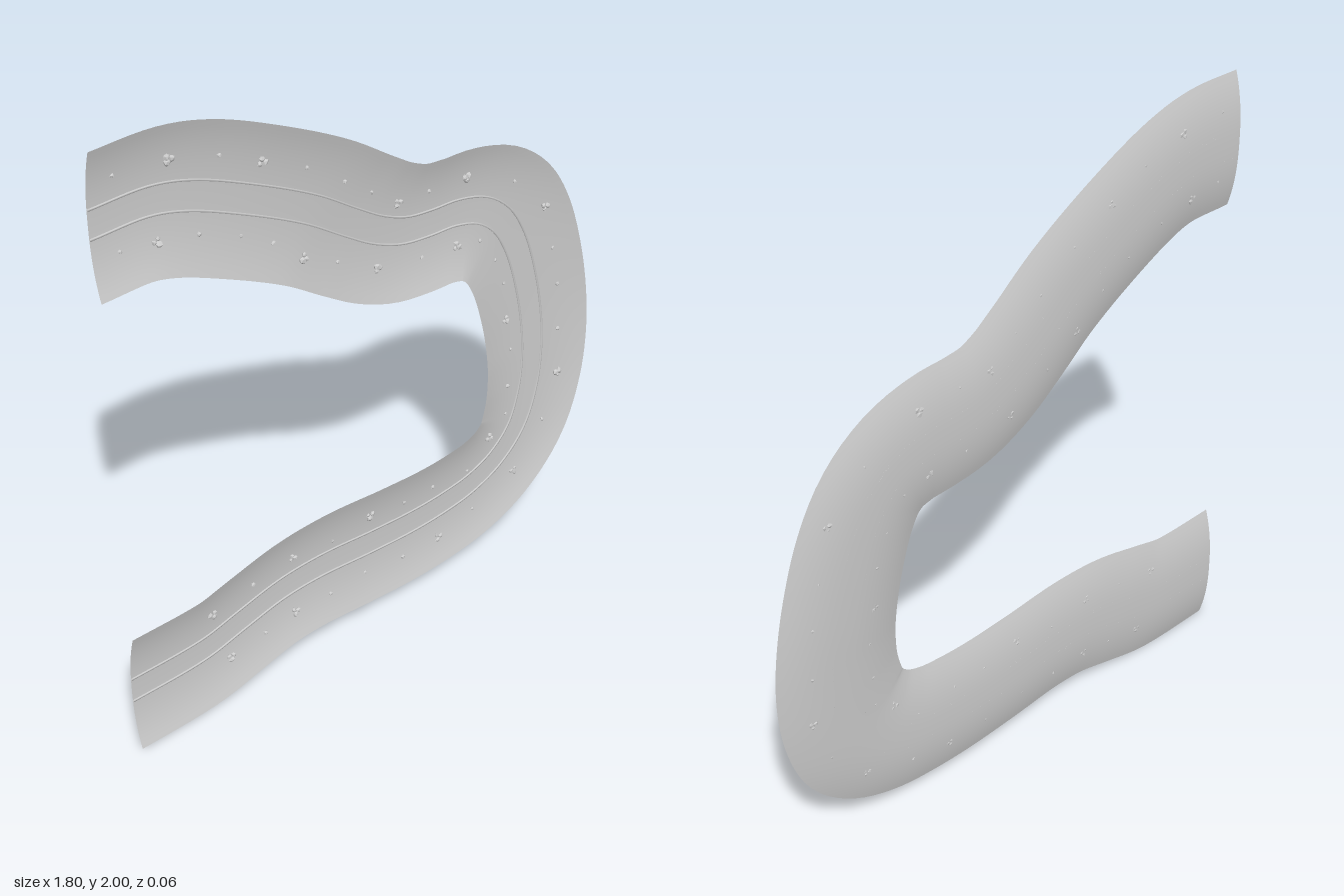
import * as THREE from 'three';
import { mergeVertices } from 'three/addons/utils/BufferGeometryUtils.js';

const HALF_WIDTH = 0.216;
const RISE = 0.03;
const STEPS = 160;

// Centre line of the channel: x, y and the depth of its floor
const centreLine = new THREE.CatmullRomCurve3([
  [-0.9, 1.784, -0.014], [-0.72, 1.784, -0.014], [-0.6, 1.755, -0.014], [-0.4, 1.665, -0.016],
  [-0.2, 1.555, -0.022], [-0.05, 1.45, -0.03], [0.05, 1.385, -0.034], [0.15, 1.343, -0.036],
  [0.25, 1.329, -0.036], [0.35, 1.323, -0.036], [0.45, 1.293, -0.035], [0.53, 1.23, -0.034],
  [0.59, 1.13, -0.033], [0.64, 0.98, -0.031], [0.67, 0.83, -0.028], [0.679, 0.7, -0.024],
  [0.665, 0.56, -0.02], [0.617, 0.43, -0.016], [0.53, 0.345, -0.013], [0.42, 0.298, -0.011],
  [0.3, 0.28, -0.01], [0.17, 0.275, -0.01], [0, 0.283, -0.011], [-0.2, 0.298, -0.012],
  [-0.35, 0.29, -0.013], [-0.5, 0.255, -0.014], [-0.62, 0.225, -0.014], [-0.7, 0.218, -0.014],
  [-0.9, 0.218, -0.014],
].map((p) => new THREE.Vector3(...p)));

// Stations along the path with the sideways direction at each
const stations = [];
for (let i = 0; i <= STEPS; i++) {
  const t = centreLine.getTangentAt(i / STEPS);
  const side = new THREE.Vector3(-t.y, t.x, 0).normalize();
  stations.push({ point: centreLine.getPointAt(i / STEPS), side });
}

// Height of the dished cross-section above the floor
const dish = (offset) => RISE * Math.pow(Math.min(1, Math.abs(offset) / HALF_WIDTH), 2.4);

// Sweep a cross-section of [sideways offset, height above the dish] along the path
function sweep(profile) {
  const positions = [];
  const indices = [];
  const n = profile.length;
  stations.forEach(({ point, side }, i) => {
    profile.forEach(([offset, height], j) => {
      positions.push(point.x + side.x * offset, point.y + side.y * offset, point.z + dish(offset) + height);
      if (i < STEPS && j < n - 1) {
        const a = i * n + j;
        indices.push(a, a + 1, a + n + 1, a, a + n + 1, a + n);
      }
    });
  });
  const geometry = new THREE.BufferGeometry();
  geometry.setAttribute('position', new THREE.Float32BufferAttribute(positions, 3));
  geometry.setIndex(indices);
  geometry.computeVertexNormals();
  return geometry;
}

// Small seeded random numbers for the rocks
let seed = 7;
const random = () => (seed = (seed * 16807) % 2147483647) / 2147483647;

// Irregular faceted stone
function stoneGeometry(radius) {
  const source = new THREE.IcosahedronGeometry(radius, 0);
  source.deleteAttribute('normal');
  source.deleteAttribute('uv');
  const geometry = mergeVertices(source);
  const p = geometry.attributes.position;
  for (let i = 0; i < p.count; i++) {
    const s = 0.75 + 0.45 * random();
    p.setXYZ(i, p.getX(i) * s, p.getY(i) * s, p.getZ(i) * s * 0.8);
  }
  geometry.computeVertexNormals();
  return geometry;
}

// Surface depth at a place on the channel, from the nearest station
function surfaceZ(x, y) {
  let best = Infinity;
  let z = 0;
  for (const { point } of stations) {
    const d = Math.hypot(x - point.x, y - point.y);
    if (d < best) {
      best = d;
      z = point.z + dish(d);
    }
  }
  return z;
}

const clumps = [
  [-0.66, 1.885], [-0.37, 1.77], [-0.71, 1.665], [-0.235, 1.42], [0.04, 1.265], [0.115, 1.45],
  [0.375, 1.435], [0.345, 1.215], [0.7, 1.215], [0.555, 0.865], [0.79, 0.565], [0.49, 0.45],
  [0.605, 0.26], [0.275, 0.16], [-0.55, 0.14], [-0.305, 0.18], [-0.01, 0.4], [-0.31, 0.395],
  [-0.61, 0.345],
];
const pebbles = [
  [-0.825, 1.9], [-0.505, 1.84], [-0.22, 1.695], [-0.085, 1.6], [0.015, 1.525], [0.23, 1.445],
  [-0.82, 1.68], [-0.58, 1.635], [-0.445, 1.575], [-0.34, 1.51], [-0.11, 1.35], [0.21, 1.23],
  [0.57, 1.35], [0.44, 1.195], [0.505, 1.1], [0.545, 1.0], [0.745, 1.05], [0.775, 0.905],
  [0.785, 0.735], [0.58, 0.745], [0.57, 0.61], [0.565, 0.505], [0.73, 0.405], [0.425, 0.195],
  [0.125, 0.16], [-0.03, 0.18], [-0.17, 0.175], [-0.42, 0.16], [-0.46, 0.375], [-0.155, 0.375],
  [0.13, 0.375], [0.25, 0.375], [0.4, 0.36],
];

export function createModel() {
  const model = new THREE.Group();
  model.name = 'windingChannel';
  const sheet = new THREE.MeshStandardMaterial({ color: 0xcccccc, side: THREE.DoubleSide });
  const rock = new THREE.MeshStandardMaterial({ color: 0xcccccc, flatShading: true });

  const add = (parent, name, geometry, material) => {
    const mesh = new THREE.Mesh(geometry, material);
    mesh.name = name;
    parent.add(mesh);
    return mesh;
  };

  // Dished bed, swept from outer to inner edge
  const bed = [];
  for (let j = 0; j <= 20; j++) bed.push([HALF_WIDTH * (1 - j / 10), 0]);
  add(model, 'bed', sweep(bed), sheet);

  // Two thin ribs either side of the centre line
  for (const [name, centre] of [['outerRib', 0.0425], ['innerRib', -0.0425]]) {
    const rib = [[0.003, 0], [0.0025, 0.004], [-0.0025, 0.004], [-0.003, 0]];
    add(model, name, sweep(rib.map(([o, h]) => [centre + o, h])), sheet);
  }

  // Rocks scattered along both banks
  const rocks = new THREE.Group();
  rocks.name = 'rocks';
  model.add(rocks);
  const addStone = (name, x, y, radius) => {
    const stone = add(rocks, name, stoneGeometry(radius), rock);
    stone.position.set(x, y, surfaceZ(x, y) + radius * 0.45);
    stone.rotation.z = random() * Math.PI * 2;
  };
  for (const [x, y] of clumps) {
    const turn = random() * Math.PI * 2;
    for (let k = 0; k < 3; k++) {
      const angle = turn + (k * Math.PI * 2) / 3;
      addStone('clumpStone', x + 0.009 * Math.cos(angle), y + 0.009 * Math.sin(angle), 0.007 + 0.004 * random());
    }
  }
  for (const [x, y] of pebbles) addStone('pebble', x, y, 0.006 + 0.002 * random());

  return model;
}
